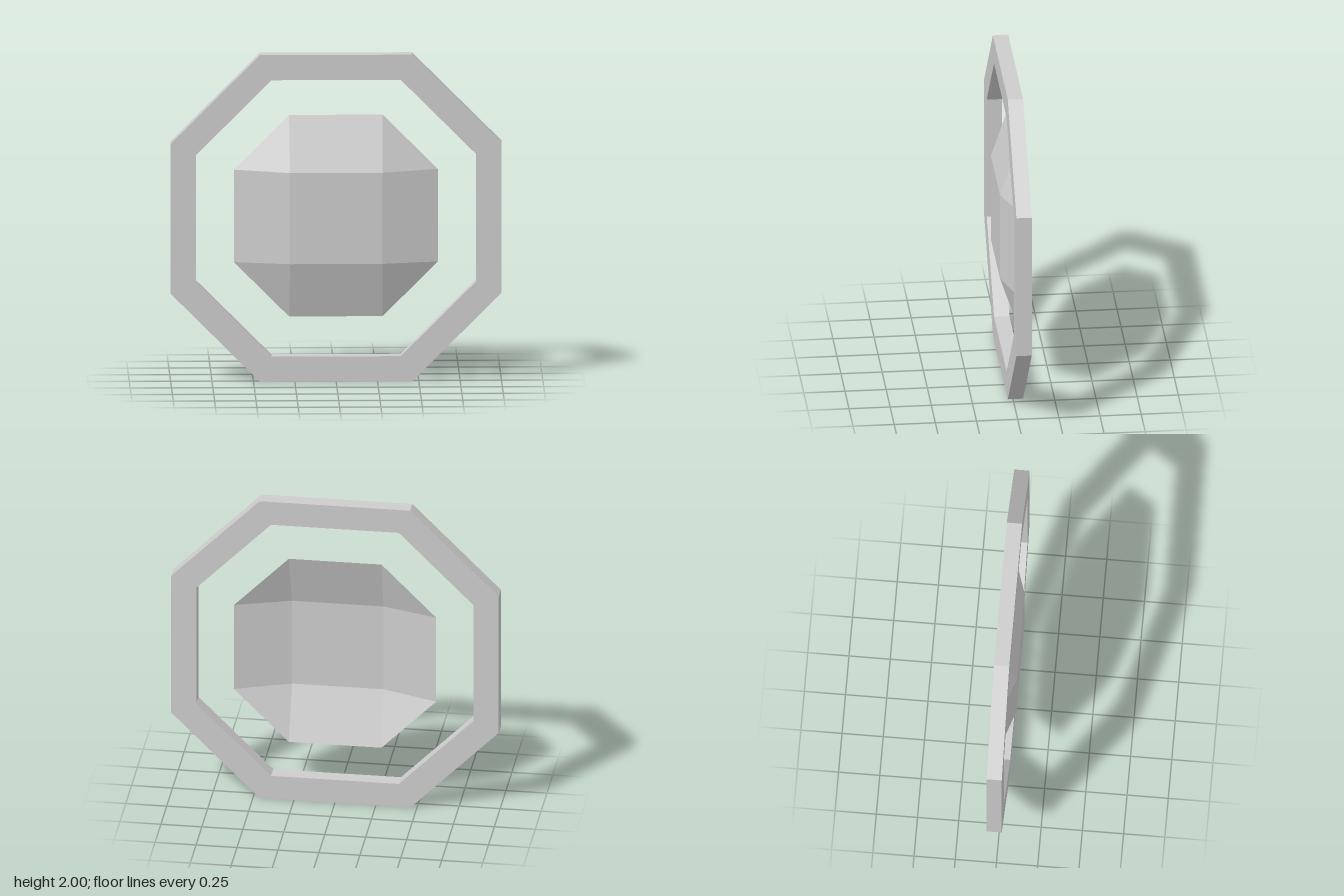
import * as THREE from 'three';

// Corners of an octagon with flat sides at +-r and corners at +-c
function octagon(r, c) {
  return [[c, r], [-c, r], [-r, c], [-r, -c], [-c, -r], [c, -r], [r, -c], [r, c]]
    .map(([x, y]) => new THREE.Vector2(x, y));
}

export function createModel() {
  const group = new THREE.Group();
  const grey = new THREE.MeshStandardMaterial({ color: 0xcccccc, flatShading: true });
  grey.name = 'lightGrey';
  const sheet = grey;
  sheet.side = THREE.DoubleSide;

  // Octagonal ring frame
  const outline = new THREE.Shape(octagon(1, 0.46));
  outline.holes.push(new THREE.Path(octagon(0.846, 0.39)));
  const ring = new THREE.Mesh(
    new THREE.ExtrudeGeometry(outline, { depth: 0.093, bevelEnabled: false }), grey);
  ring.name = 'ringFrame';
  ring.position.set(0, 1, -0.061);
  group.add(ring);

  // Open domed panel: flat square centre, four sloping sides, four corner triangles
  const front = 0.062, back = -0.052, h = 0.279;
  const rim = octagon(0.617, 0.283);
  const inner = [[h, h], [-h, h], [-h, -h], [h, -h]];
  const points = [
    ...inner.map(([x, y]) => new THREE.Vector3(x, y, front)),
    ...rim.map((p) => new THREE.Vector3(p.x, p.y, back)),
  ];
  const faces = [0, 1, 2, 0, 2, 3];
  for (let i = 0; i < 4; i++) {
    const next = (i + 1) % 4;
    const a = 4 + 2 * i, b = a + 1, c = 4 + ((2 * i + 2) % 8);
    faces.push(i, a, b, i, b, next); // sloping side
    faces.push(next, b, c); // corner
  }
  const dome = new THREE.BufferGeometry().setFromPoints(points);
  dome.setIndex(faces);
  const flat = dome.toNonIndexed();
  flat.computeVertexNormals();
  const panel = new THREE.Mesh(flat, sheet);
  panel.name = 'domedPanel';
  panel.position.y = 1.003;
  group.add(panel);

  return group;
}
